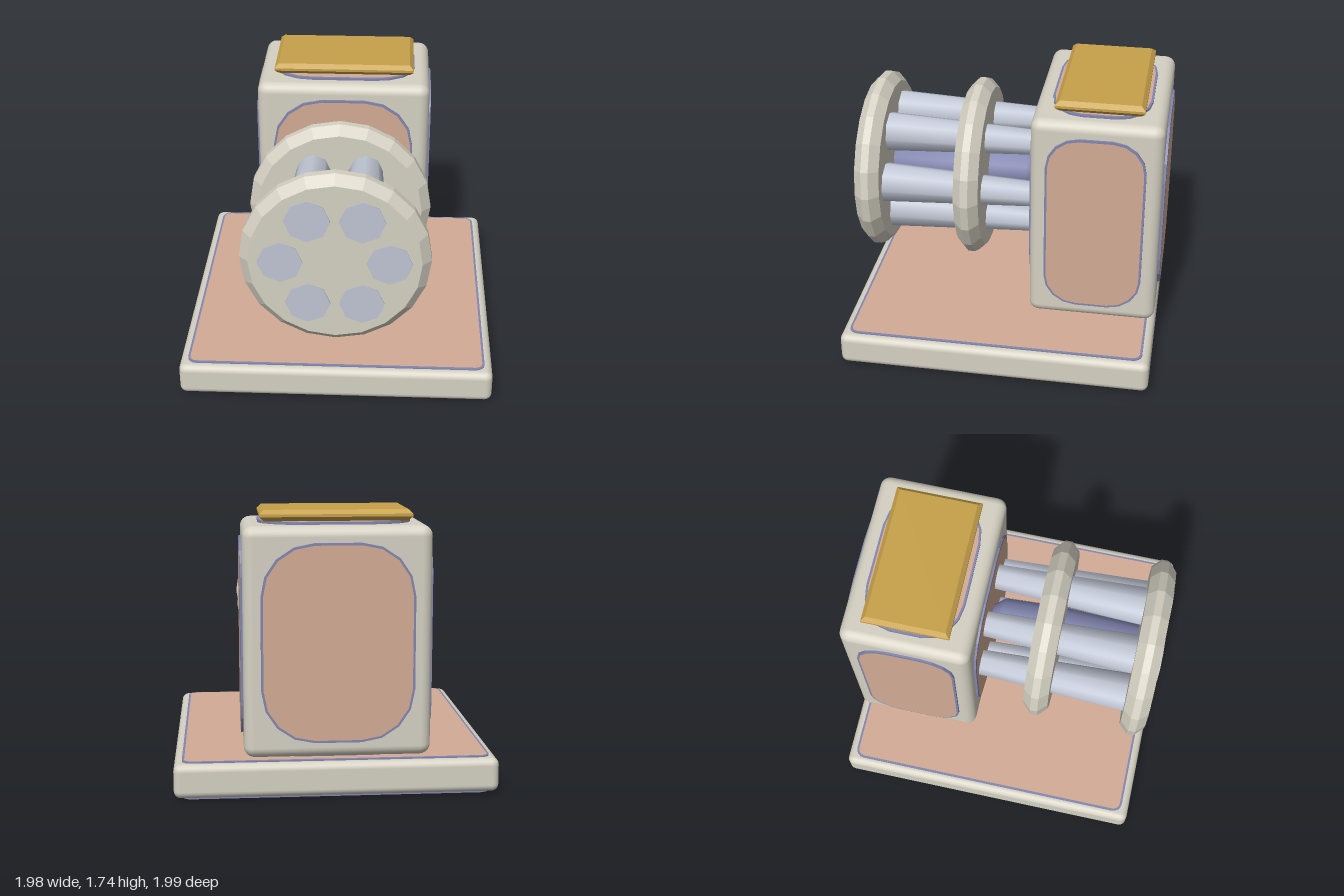
import * as THREE from 'three';
import { toCreasedNormals } from 'three/addons/utils/BufferGeometryUtils.js';
import { RoundedBoxGeometry } from 'three/addons/geometries/RoundedBoxGeometry.js';

const material = (name, color) => {
  const m = new THREE.MeshStandardMaterial({ color });
  m.name = name;
  return m;
};

export function createModel() {
  const cream = material('cream', 0xd5d1c3);
  const salmon = material('salmon', 0xd3ab95);
  const violet = material('violet', 0x8286b0);
  const steel = material('pale blue', 0xbfc5d3);
  const gold = material('gold', 0xc7a149);

  const model = new THREE.Group();
  model.name = 'model';

  const add = (parent, name, geometry, mat, x = 0, y = 0, z = 0) => {
    const mesh = new THREE.Mesh(geometry, mat);
    mesh.name = name;
    mesh.position.set(x, y, z);
    parent.add(mesh);
    return mesh;
  };

  // Rectangle with elliptical corners, given by half sizes and corner radii
  const roundedShape = (hw, hh, rx, ry) => {
    const points = [];
    [[1, 1], [-1, 1], [-1, -1], [1, -1]].forEach(([sx, sy], corner) => {
      for (let i = 0; i <= 4; i++) {
        const a = (corner + i / 4) * Math.PI / 2;
        points.push(new THREE.Vector2(
          sx * (hw - rx) + rx * Math.cos(a), sy * (hh - ry) + ry * Math.sin(a)));
      }
    });
    return new THREE.Shape(points);
  };

  // Raised inlay: violet rim around a salmon face, lying on a surface at z = 0
  const addPanel = (parent, name, size, position, rotation, proud) => {
    const [hw, hh, rx, ry] = size;
    const panel = new THREE.Group();
    panel.name = name;
    const rim = new THREE.ExtrudeGeometry(roundedShape(hw, hh, rx, ry),
      { depth: 0.03 + proud - 0.002, bevelEnabled: false });
    add(panel, 'panelRim', rim, violet, 0, 0, -0.03);
    const b = 0.014;
    add(panel, 'panelFace', new THREE.ShapeGeometry(roundedShape(hw - b, hh - b, rx - b, ry - b)),
      salmon, 0, 0, proud);
    panel.position.set(...position);
    panel.rotation.set(...rotation);
    parent.add(panel);
  };

  const Q = Math.PI / 2;

  // Base slab with inlays above and below
  const base = new THREE.Group();
  base.name = 'base';
  model.add(base);
  add(base, 'baseSlab', new RoundedBoxGeometry(1.98, 0.21, 1.98, 3, 0.045), cream, 0, 0.12, 0.005);
  const baseSize = [0.94, 0.94, 0.06, 0.06];
  addPanel(base, 'baseTopPanel', baseSize, [0, 0.225, 0.005], [-Q, 0, 0], 0.01);
  addPanel(base, 'baseBottomPanel', baseSize, [0, 0.015, 0.005], [Q, 0, 0], 0.015);

  // Upright body with an inlay on each face
  const body = new THREE.Group();
  body.name = 'body';
  body.position.set(0, 0.9525, -0.573);
  model.add(body);
  const [hx, hy, hz] = [0.565, 0.6975, 0.408];
  add(body, 'bodyBlock', new RoundedBoxGeometry(2 * hx, 2 * hy, 2 * hz, 3, 0.065), cream);
  const faceSize = [0.46, 0.6, 0.32, 0.32];
  const sideSize = [0.31, 0.6, 0.21, 0.21];
  const capSize = [0.465, 0.31, 0.26, 0.21];
  addPanel(body, 'frontPanel', faceSize, [0, 0, hz], [0, 0, 0], 0.015);
  addPanel(body, 'backPanel', faceSize, [0, 0, -hz], [0, Math.PI, 0], 0.017);
  addPanel(body, 'leftPanel', sideSize, [hx, 0, 0], [0, Q, 0], 0.015);
  addPanel(body, 'rightPanel', sideSize, [-hx, 0, 0], [0, -Q, 0], 0.015);
  addPanel(body, 'topPanel', capSize, [0, hy, 0], [-Q, 0, 0], 0.017);
  addPanel(body, 'bottomPanel', capSize, [0, -hy, 0], [Q, 0, 0], 0.017);

  // Chamfered plate on top
  const c = 0.026;
  const plate = new THREE.ExtrudeGeometry(
    new THREE.Shape([[-1, -1], [1, -1], [1, 1], [-1, 1]].map(
      ([x, y]) => new THREE.Vector2(x * (0.458 - c), y * (0.274 - c)))),
    { depth: 0.016, bevelThickness: c, bevelSize: c, bevelSegments: 1 });
  plate.rotateX(-Q);
  add(model, 'topPlate', plate, gold, 0, 1.667 + c, -0.577);

  // Barrel cluster pointing forward
  const cluster = new THREE.Group();
  cluster.name = 'barrelCluster';
  cluster.position.y = 1.01;
  model.add(cluster);

  const lathe = (profile, sides) => new THREE.LatheGeometry(
    profile.map(([r, h]) => new THREE.Vector2(r, h)), sides).rotateX(Q);

  // Six tapered octagonal barrels
  const [zBack, zFront] = [-0.22, 0.975];
  for (let i = 0; i < 6; i++) {
    const a = i * Math.PI / 3;
    const barrel = toCreasedNormals(
      new THREE.CylinderGeometry(0.138, 0.082, zFront - zBack, 8).rotateX(Q), 0.9);
    add(cluster, 'barrel', barrel, steel,
      0.33 * Math.cos(a), 0.33 * Math.sin(a), (zFront + zBack) / 2);
  }

  // Faceted collars with bevelled rims
  const collar = toCreasedNormals(lathe(
    [[0, -0.08], [0.525, -0.08], [0.582, -0.024], [0.582, 0.024], [0.525, 0.08], [0, 0.08]], 20), 0.1);
  add(cluster, 'frontCollar', collar, cream, 0, 0, 0.888);
  add(cluster, 'middleCollar', collar, cream, 0, 0, 0.248);

  // Central spindle between the barrels
  add(cluster, 'spindle', lathe(
    [[0, -0.2], [0.08, -0.15], [0.132, -0.08], [0.15, 0.3], [0.135, 0.82], [0, 0.85]], 12), violet);

  return model;
}
